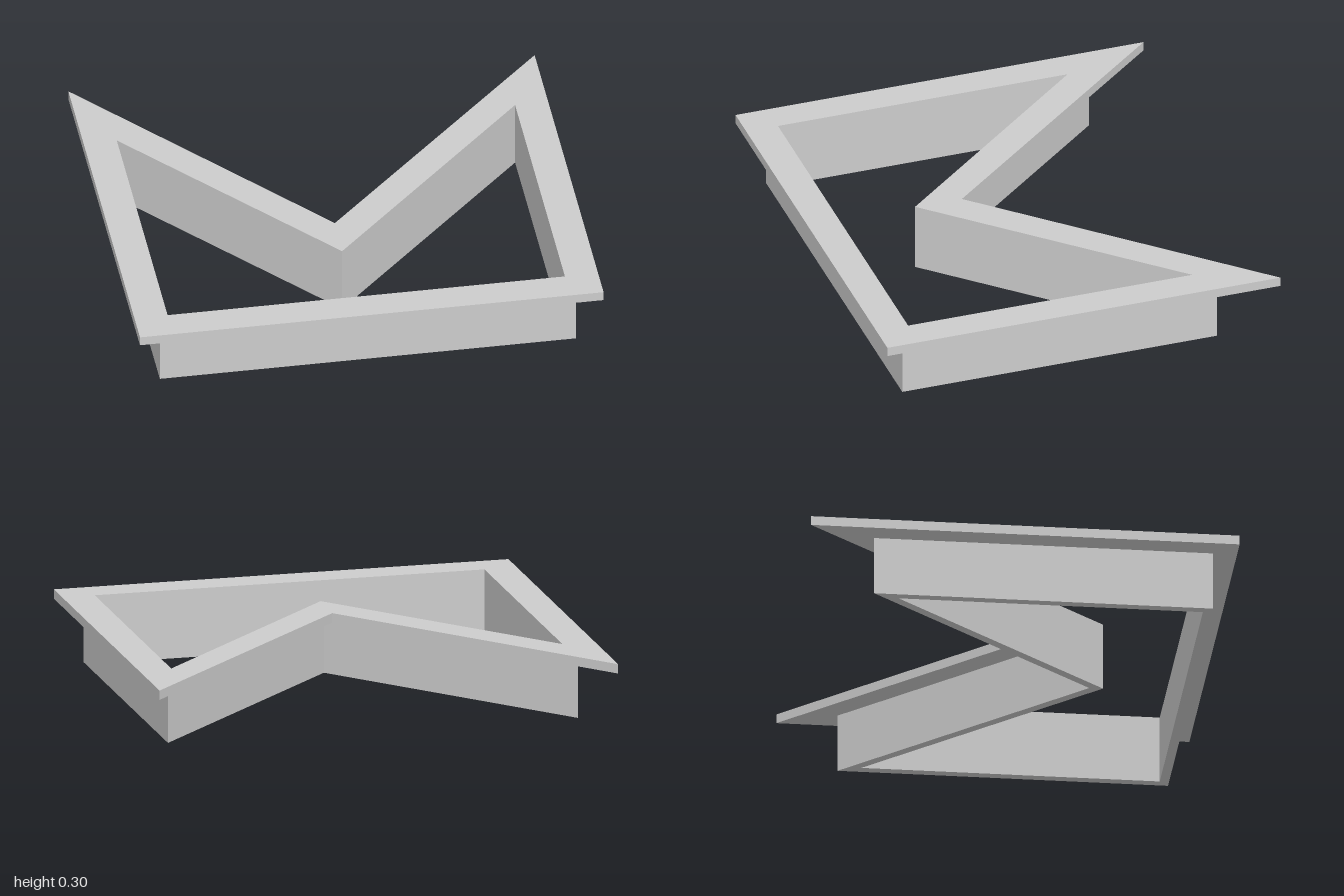
import * as THREE from 'three';

// Plan corners as [x, z], in matching order
const INNER = [[-0.857, -0.527], [-0.047, 0.435], [0.857, -0.502], [0.857, 0.775], [-0.857, 0.775]];
const OUTER = [[-1, -0.917], [-0.043, 0.226], [1, -0.85], [1, 0.917], [-1, 0.917]];
const WALL_SHARE = 0.28; // wall thickness as a share of the flange width
const WALL_TOP = 0.259;
const TOP = 0.3;

const toPoints = (corners) => corners.map(([x, z]) => new THREE.Vector2(x, -z));

// Hollow notched frame between two outlines, standing from y0 to y1
function frame(name, outer, y0, y1, material) {
  const shape = new THREE.Shape(toPoints(outer));
  // The opening runs the opposite way round so its sides face inwards
  shape.holes.push(new THREE.Path(toPoints(INNER).reverse()));
  const geometry = new THREE.ExtrudeGeometry(shape, { depth: y1 - y0, bevelEnabled: false });
  geometry.rotateX(-Math.PI / 2).translate(0, y0, 0);
  const mesh = new THREE.Mesh(geometry, material);
  mesh.name = name;
  return mesh;
}

export function createModel() {
  const grey = new THREE.MeshStandardMaterial({ color: 0xcccccc });
  grey.name = 'lightGrey';

  // Wall outline lies a short way out from the inner opening
  const wallOuter = INNER.map(([x, z], i) => [
    x + (OUTER[i][0] - x) * WALL_SHARE,
    z + (OUTER[i][1] - z) * WALL_SHARE,
  ]);

  const model = new THREE.Group();
  model.name = 'notchedFrame';
  model.add(
    frame('wall', wallOuter, 0, WALL_TOP, grey),
    frame('topFlange', OUTER, WALL_TOP, TOP, grey),
  );
  return model;
}
